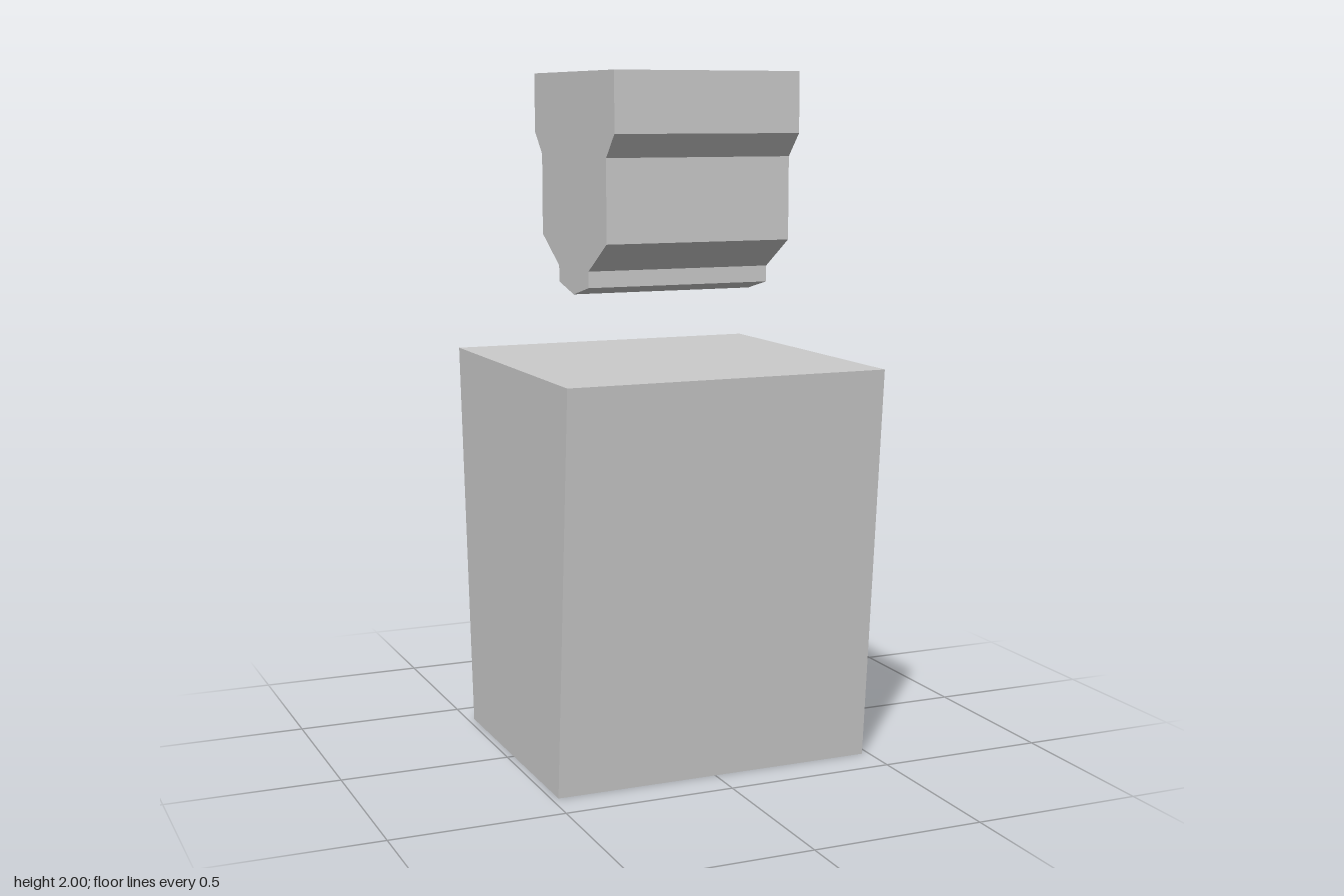
import * as THREE from 'three';

const material = new THREE.MeshStandardMaterial({ color: 0xcccccc, flatShading: true });

// Prism across x from a half profile of [z, y] points (bottom to top), mirrored in z.
function mirroredPrism(name, half, width) {
  const mirrored = half.filter(([z]) => z > 0).reverse().map(([z, y]) => [-z, y]);
  const shape = new THREE.Shape([...half, ...mirrored].map(([z, y]) => new THREE.Vector2(z, y)));
  const geometry = new THREE.ExtrudeGeometry(shape, { depth: width, bevelEnabled: false });
  geometry.translate(0, 0, -width / 2);
  geometry.rotateY(Math.PI / 2);
  const mesh = new THREE.Mesh(geometry, material);
  mesh.name = name;
  return mesh;
}

export function createModel() {
  const model = new THREE.Group();
  model.name = 'taperedBlockWithFloatingHead';

  // Base block, narrowing downwards at front and back
  model.add(mirroredPrism('base', [[0.385, 0], [0.48, 1.165]], 0.96));

  // Stepped head hovering above the base
  model.add(mirroredPrism('head', [
    [0, 1.365], [0.12, 1.393], [0.12, 1.44], [0.26, 1.525],
    [0.26, 1.762], [0.322, 1.828], [0.322, 2],
  ], 0.56));

  return model;
}
